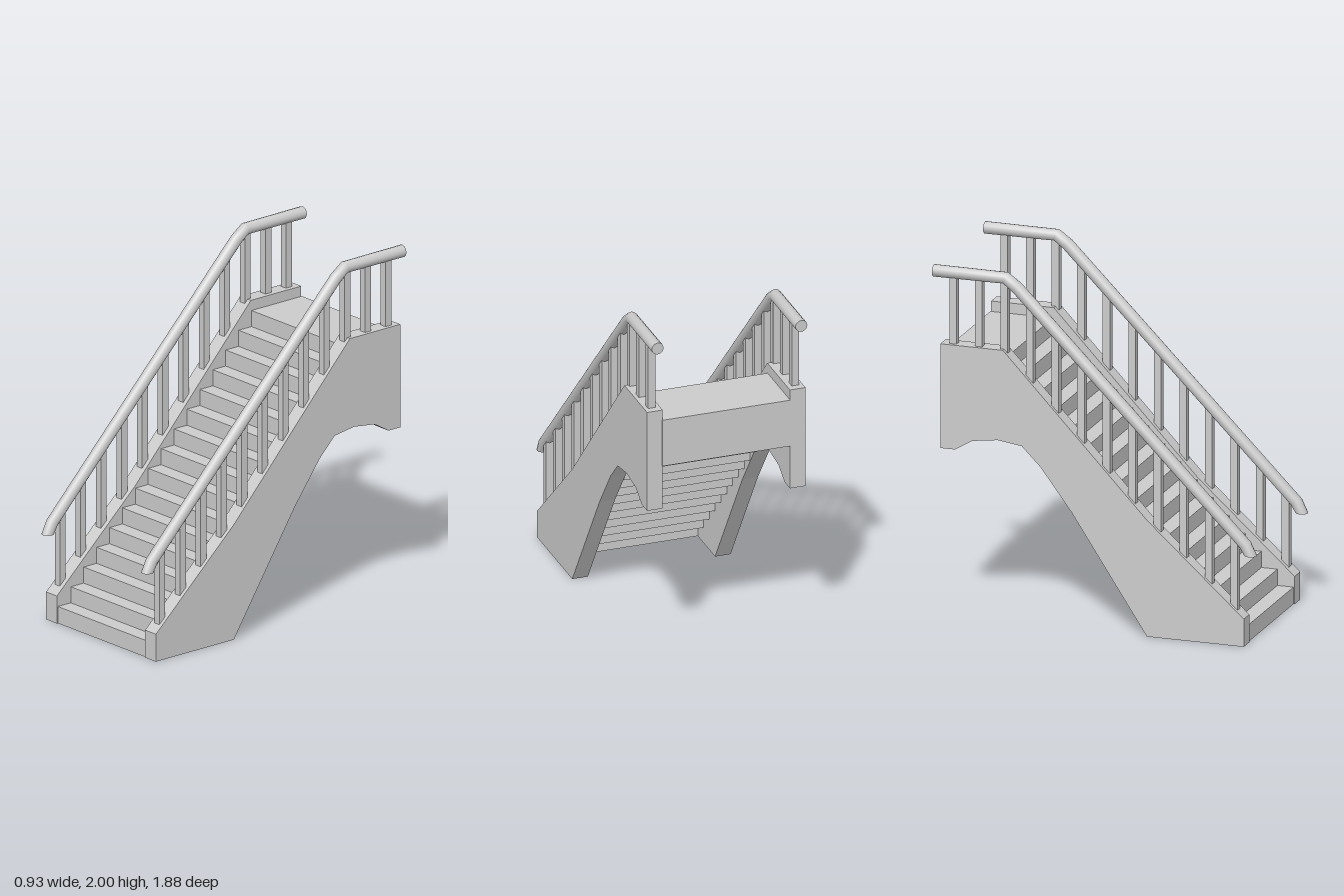
import * as THREE from 'three';
import { toCreasedNormals } from 'three/addons/utils/BufferGeometryUtils.js';

const material = new THREE.MeshStandardMaterial({ color: 0xcccccc });

// Extrude a side outline of [z, y] points across x, from x0 to x1
function extrudeAcross(points, x0, x1) {
  const shape = new THREE.Shape(points.map(([z, y]) => new THREE.Vector2(z, y)));
  const geo = new THREE.ExtrudeGeometry(shape, { depth: x1 - x0, bevelEnabled: false });
  geo.rotateY(-Math.PI / 2);
  geo.translate(x1, 0, 0);
  return geo;
}

function add(parent, name, geo) {
  const mesh = new THREE.Mesh(geo, material);
  mesh.name = name;
  parent.add(mesh);
  return mesh;
}

// Top edge of the side walls, front to back
const wallTop = [[0.885, 0.16], [0.32, 0.67], [-0.52, 1.56], [-0.885, 1.56]];
// Centre line of the handrail: z, y, then the direction of each cut across it
const railPath = [
  [0.91, 0.515, 1, 0],
  [0.878, 0.575, 0.87, 0.5],
  [-0.455, 1.918, 0.66, 0.75],
  [-0.52, 1.965, 0.3, 0.95],
  [-0.937, 1.965, 0, 1],
];

function heightAt(path, z) {
  for (let i = 0; i < path.length - 1; i++) {
    const [z0, y0] = path[i], [z1, y1] = path[i + 1];
    if (z <= z0 && z >= z1) return y0 + ((y1 - y0) * (z0 - z)) / (z0 - z1);
  }
  return path[0][1];
}

// Handrail from round cross-sections with capped ends
function railGeometry(radius, sides) {
  const pos = [], index = [];
  for (const [z, y, dz, dy] of railPath) {
    for (let i = 0; i < sides; i++) {
      const a = (i / sides) * Math.PI * 2;
      const u = Math.cos(a) * radius, v = Math.sin(a) * radius;
      pos.push(u, y + dy * v, z + dz * v);
    }
  }
  const last = (railPath.length - 1) * sides;
  for (let r = 0; r < last; r += sides) {
    for (let i = 0; i < sides; i++) {
      const j = (i + 1) % sides;
      index.push(r + i, r + j, r + sides + i, r + j, r + sides + j, r + sides + i);
    }
  }
  for (let i = 1; i < sides - 1; i++) {
    index.push(0, i + 1, i);
    index.push(last, last + i, last + i + 1);
  }
  // Sections run towards -z, so the winding is turned to face outwards
  for (let i = 0; i < index.length; i += 3) {
    const isCap = i >= index.length - (sides - 2) * 6;
    if (!isCap) [index[i + 1], index[i + 2]] = [index[i + 2], index[i + 1]];
    else [index[i + 1], index[i + 2]] = [index[i + 2], index[i + 1]];
  }
  const geo = new THREE.BufferGeometry();
  geo.setAttribute('position', new THREE.Float32BufferAttribute(pos, 3));
  geo.setIndex(index);
  return toCreasedNormals(geo, 0.7);
}

export function createModel() {
  const model = new THREE.Group();
  model.name = 'staircase';

  // Flight: stepped above and below, with an arched soffit under the landing
  const treads = 15, rise = 0.0935, run = 0.0935, front = 0.878, firstY = 0.0975;
  const flight = [[front, 0]];
  for (let i = 0; i < treads; i++) {
    const y = firstY + i * rise, z = front - i * run;
    flight.push([z, y], [z - run, y]);
  }
  const landingZ = front - treads * run;
  flight.push([landingZ, 1.5], [-0.89, 1.5], [-0.89, 1.22]);
  flight.push([-0.8, 1.29], [-0.7, 1.32], [-0.6, 1.32], [-0.5, 1.28]);
  for (let i = 13; i >= 3; i--) {
    const z = front - i * run, y = (i - 2) * rise;
    flight.push([z - run, y], [z, y]);
  }
  flight.push([front - 3 * run, 0]);
  add(model, 'steps', extrudeAcross(flight, -0.375, 0.375));

  // Side walls with an arched underside at the back
  const wall = [
    [0.885, 0], ...wallTop,
    [-0.885, 0.96], [-0.8, 0.96], [-0.7, 1.02], [-0.55, 1.04],
    [-0.41, 1.02], [-0.3, 0.91], [-0.12, 0.67], [0.32, 0],
  ];
  const railGeo = railGeometry(0.035, 12);

  for (const side of [1, -1]) {
    const group = new THREE.Group();
    group.name = side > 0 ? 'leftSide' : 'rightSide';
    model.add(group);
    const xs = [side * 0.372, side * 0.463].sort((a, b) => a - b);
    add(group, 'sideWall', extrudeAcross(wall, xs[0], xs[1]));
    add(group, 'handrail', railGeo).position.x = side * 0.42;

    // Balusters, evenly spaced from the wall top into the rail
    for (let i = 0; i < 12; i++) {
      const z = 0.82 - i * 0.149;
      const y0 = heightAt(wallTop, z) - 0.03, y1 = heightAt(railPath, z);
      const post = add(group, 'baluster', new THREE.BoxGeometry(0.042, y1 - y0, 0.042));
      post.position.set(side * 0.42, (y0 + y1) / 2, z);
    }
  }
  return model;
}
